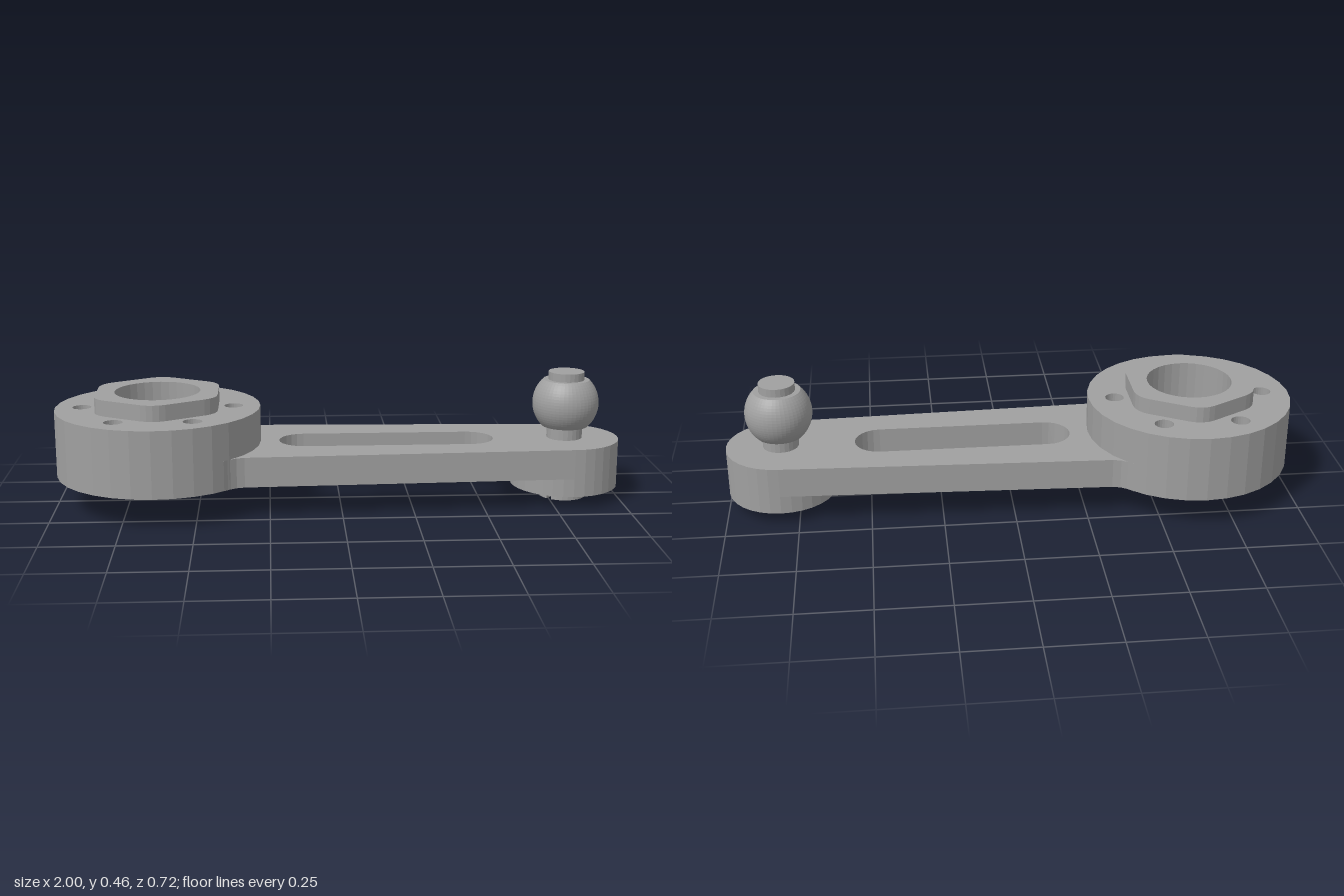
import * as THREE from 'three';

const HUB_X = -0.64, BALL_X = 0.808;

// Points along an arc in plan
function arc(cx, cy, r, a0, a1, n) {
  return Array.from({ length: n + 1 }, (_, i) => {
    const a = a0 + (a1 - a0) * i / n;
    return new THREE.Vector2(cx + r * Math.cos(a), cy + r * Math.sin(a));
  });
}
const circle = (cx, cy, r, n = 32) => arc(cx, cy, r, 0, Math.PI * 2 * (n - 1) / n, n - 1);

// Flat plate of a plan outline between two heights
function plate(outline, y0, y1, holes = []) {
  const shape = new THREE.Shape(outline);
  shape.holes = holes.map(h => new THREE.Path(h));
  const geo = new THREE.ExtrudeGeometry(shape, { depth: y1 - y0, bevelEnabled: false });
  geo.rotateX(-Math.PI / 2);
  geo.translate(0, y0, 0);
  return geo;
}

export function createModel() {
  const model = new THREE.Group();
  model.name = 'leverArm';
  const metal = new THREE.MeshStandardMaterial({ color: 0xa0a0a0 });
  metal.name = 'grey metal';
  const add = (name, geo) => {
    const mesh = new THREE.Mesh(geo, metal);
    mesh.name = name;
    model.add(mesh);
  };

  // Hub with a bore and six counterbored screw holes
  const bore = circle(HUB_X, 0, 0.15);
  const boltHoles = r => Array.from({ length: 6 }, (_, i) => {
    const a = i * Math.PI / 3;
    return circle(HUB_X + 0.266 * Math.cos(a), 0.266 * Math.sin(a), r, 24);
  });
  const rim = circle(HUB_X, 0, 0.36);
  add('hubLower', plate(rim, 0.11, 0.28, [bore, ...boltHoles(0.07)]));
  add('hubUpper', plate(rim, 0.28, 0.344, [bore, ...boltHoles(0.033)]));

  // Hexagonal boss with rounded corners
  const hex = [];
  for (let i = 0; i < 6; i++) {
    const a = Math.PI / 6 + i * Math.PI / 3, r = 0.085, d = (0.213 - r) / Math.cos(Math.PI / 6);
    hex.push(...arc(HUB_X + d * Math.cos(a), d * Math.sin(a), r, a - Math.PI / 6, a + Math.PI / 6, 4));
  }
  add('hexBoss', plate(hex, 0.344, 0.4, [bore]));

  // Tapered slotted arm, blended into the hub
  const upper = [[-0.404, 0.272], [-0.385, 0.253], [-0.362, 0.239], [-0.335, 0.232]];
  const outline = [
    ...arc(HUB_X, 0, 0.354, -0.84, 0.84, 14),
    ...upper.map(([x, y]) => new THREE.Vector2(x, y)),
    ...arc(0.81, 0, 0.19, Math.PI / 2, -Math.PI / 2, 16),
    ...upper.reverse().map(([x, y]) => new THREE.Vector2(x, -y)),
  ];
  const slot = [
    ...arc(0.462, 0, 0.088, -Math.PI / 2, Math.PI / 2, 12),
    ...arc(-0.127, 0, 0.088, Math.PI / 2, Math.PI * 1.5, 12),
  ];
  add('arm', plate(outline, 0.11, 0.215, [slot]));
  add('endBoss', plate(circle(0.81, 0, 0.19), 0.045, 0.11));

  // Ball stud
  add('studNeck', plate(circle(BALL_X, 0, 0.063, 24), 0.215, 0.26));
  add('studTip', plate(circle(BALL_X, 0, 0.063, 24), 0.426, 0.455));
  const tilt = Math.asin(0.084 / 0.117);
  const profile = [
    new THREE.Vector2(0, 0.258 - 0.342),
    ...arc(0, 0, 0.117, -tilt, tilt, 18),
    new THREE.Vector2(0, 0.426 - 0.342),
  ];
  const ball = new THREE.LatheGeometry(profile, 48).toNonIndexed();
  ball.computeVertexNormals();
  ball.translate(BALL_X, 0.342, 0);
  add('ball', ball);

  // Stud head underneath, cut by a diagonal screwdriver slot
  add('studHead', plate(circle(BALL_X, 0, 0.084, 24), 0.024, 0.045));
  for (const start of [Math.PI / 4, Math.PI * 1.25]) {
    const half = arc(BALL_X, 0, 0.084, start + 0.11, start + Math.PI - 0.11, 12);
    add('studHeadHalf', plate(half, 0, 0.024));
  }
  return model;
}
